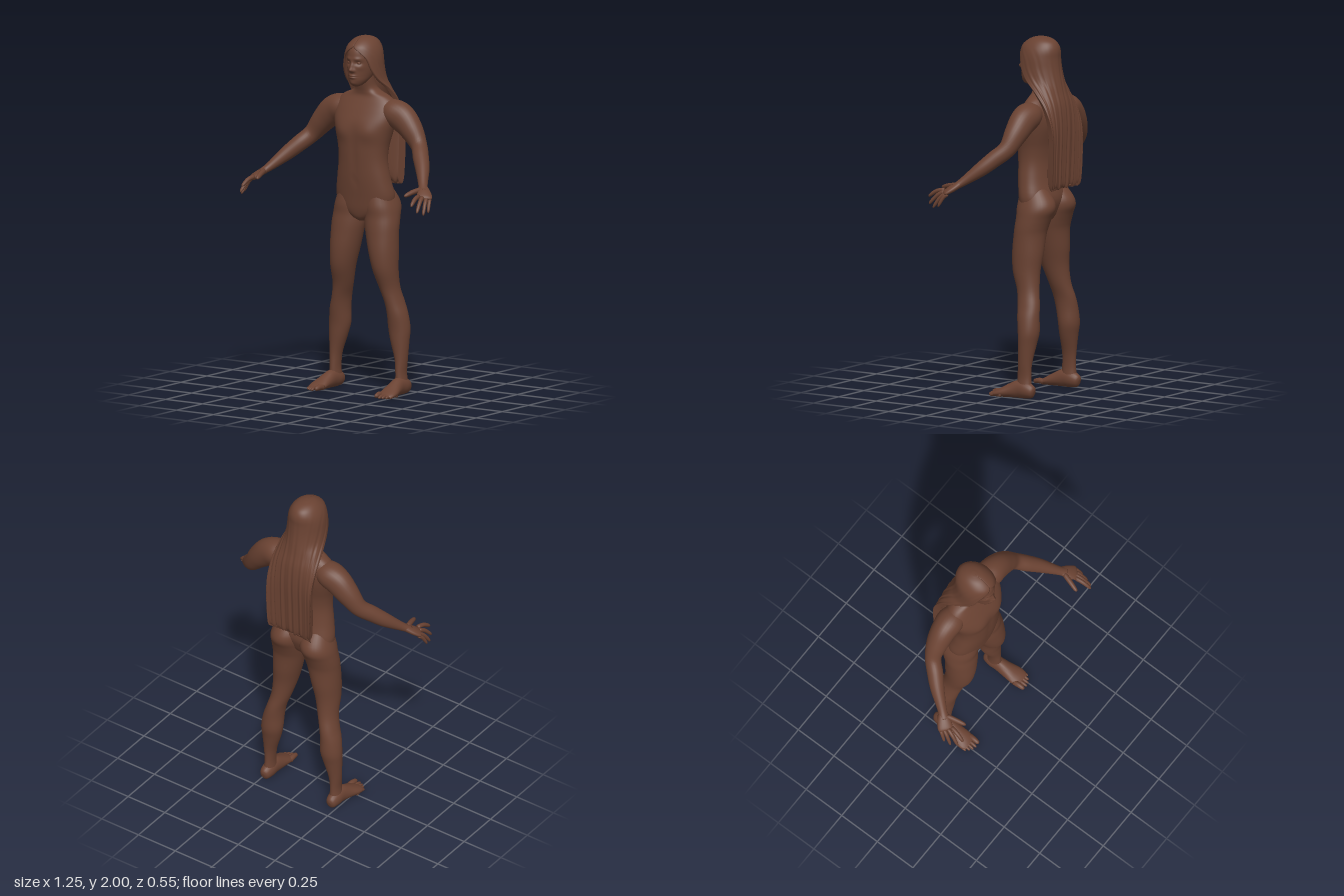
import * as THREE from 'three';

const skin = new THREE.MeshStandardMaterial({ color: 0x6a4232 });
skin.name = 'brown';

// Smoothly subdivide a list of section rows, k steps per gap
function smooth(rows, k) {
  const out = [], n = rows.length - 1;
  for (let i = 0; i < n; i++) {
    const [a, b, c, d] = [rows[Math.max(i - 1, 0)], rows[i], rows[i + 1], rows[Math.min(i + 2, n)]];
    for (let j = 0; j < k; j++) {
      const t = j / k;
      out.push(b.map((v, m) => v + 0.5 * t * (c[m] - a[m] + t * (2 * a[m] - 5 * v + 4 * c[m] - d[m]
        + t * (3 * (v - c[m]) + d[m] - a[m])))));
    }
  }
  out.push(rows[n]);
  return out;
}

// Skin a list of closed rings, capping both ends and facing outwards
function loft(name, rings, side = 1) {
  const n = rings[0].length, m = rings.length, pts = rings.flat(), idx = [];
  for (const r of [rings[0], rings[m - 1]]) {
    pts.push(r.reduce((s, p) => s.add(p), new THREE.Vector3()).divideScalar(n));
  }
  const A = n * m, B = A + 1;
  for (let j = 0; j < n; j++) {
    const k = (j + 1) % n;
    for (let i = 0; i < m - 1; i++) {
      const a = i * n + j, b = i * n + k;
      idx.push(a, b, a + n, b, b + n, a + n);
    }
    idx.push(A, k, j, B, (m - 1) * n + j, (m - 1) * n + k);
  }
  const v = pts.map(p => new THREE.Vector3(p.x * side, p.y, p.z));
  let volume = 0;
  const cross = new THREE.Vector3();
  for (let i = 0; i < idx.length; i += 3) {
    volume += v[idx[i]].dot(cross.crossVectors(v[idx[i + 1]], v[idx[i + 2]]));
  }
  if (volume < 0) idx.reverse();
  const g = new THREE.BufferGeometry().setFromPoints(v);
  g.setIndex(idx);
  g.computeVertexNormals();
  const mesh = new THREE.Mesh(g, skin);
  mesh.name = name;
  return mesh;
}

// Horizontal sections [y, x, z, rx, rz]; bumps [x, y, rx, ry, dz, front(1)/back(-1)] push z
function stack(name, rows, { k = 4, n = 32, e = 1, bumps = [], side = 1 } = {}) {
  const pow = c => Math.sign(c) * Math.abs(c) ** e;
  const rings = smooth(rows, k).map(([y, x, z, rx, rz]) => Array.from({ length: n }, (_, j) => {
    const a = j / n * Math.PI * 2;
    const p = new THREE.Vector3(x + rx * pow(Math.sin(a)), y, z + rz * pow(Math.cos(a)));
    let dz = 0;
    for (const [bx, by, sx, sy, d, f] of bumps) {
      const facing = Math.max(0, Math.cos(a) * f);
      dz += d * Math.min(1, facing * 2) * Math.exp(-(((p.x - bx) / sx) ** 2) - ((p.y - by) / sy) ** 2);
    }
    p.z += dz;
    return p;
  }));
  return loft(name, rings, side);
}

// Sections square to a path: [x, y, z, half width, half height]
function limb(name, rows, side = 1, k = 4, n = 20) {
  const pts = smooth(rows, k), at = r => new THREE.Vector3(r[0], r[1], r[2]);
  const rings = pts.map((r, i) => {
    const t = at(pts[Math.min(i + 1, pts.length - 1)]).sub(at(pts[Math.max(i - 1, 0)])).normalize();
    const w = new THREE.Vector3().crossVectors(t, new THREE.Vector3(0, 1, 0)).normalize();
    const h = new THREE.Vector3().crossVectors(w, t);
    return Array.from({ length: n }, (_, j) => {
      const a = j / n * Math.PI * 2;
      return at(r).addScaledVector(w, r[3] * Math.cos(a)).addScaledVector(h, r[4] * Math.sin(a));
    });
  });
  return loft(name, rings, side);
}

// Tapered finger or toe with a rounded tip
function digit(name, from, to, r, lift, side) {
  const row = (t, s) => [0, 1, 2].map(i => from[i] + (to[i] - from[i]) * t
    + (i === 1 ? lift * Math.sin(t * Math.PI) : 0)).concat(r * s, r * s);
  return limb(name, [row(0, 1), row(0.3, 1), row(0.55, 0.95), row(0.82, 0.82), row(0.95, 0.55), row(1, 0.1)], side, 2, 10);
}

// Long hair: open wrap round the head that flattens into a hanging sheet
function buildHair() {
  // [y, half width, z centre, z radius, wrap, thickness]
  const rows = [
    [2.0, 0.012, -0.1, 0.015, 1, 0], [1.992, 0.042, -0.1, 0.052, 1, 0], [1.975, 0.066, -0.1, 0.085, 1, 0],
    [1.95, 0.085, -0.095, 0.108, 0.99, 0.002], [1.92, 0.098, -0.093, 0.117, 0.86, 0.003],
    [1.88, 0.106, -0.09, 0.12, 0.74, 0.004], [1.82, 0.111, -0.09, 0.126, 0.66, 0.005],
    [1.76, 0.119, -0.105, 0.122, 0.58, 0.008], [1.7, 0.138, -0.15, 0.09, 0.5, 0.015],
    [1.62, 0.146, -0.22, 0.04, 0.5, 0.025], [1.5, 0.147, -0.268, 0, 0.5, 0.035],
    [1.35, 0.147, -0.275, -0.012, 0.5, 0.04], [1.2, 0.143, -0.268, -0.012, 0.5, 0.035],
    [1.165, 0.137, -0.255, -0.008, 0.5, 0.003],
  ];
  const n = 72;
  const rings = smooth(rows, 4).map(([y, hw, zc, rz, wrap, th]) => {
    const fall = THREE.MathUtils.clamp((1.97 - y) / 0.5, 0, 1);
    const row = inner => Array.from({ length: n + 1 }, (_, i) => {
      const t = i / n * 2 - 1, a = t * wrap * Math.PI;
      const wave = fall * (0.003 * Math.sin(t * 34) + 0.002 * Math.sin(t * 57 + 1));
      const shrink = inner ? Math.min(0.01, hw * 0.3) : -wave;
      const drop = 0.008 * Math.sin(t * 17) * THREE.MathUtils.clamp((1.4 - y) / 0.25, 0, 1);
      return new THREE.Vector3((hw - shrink) * Math.sin(a), y + drop,
        zc - (rz - shrink) * Math.cos(a) + (inner ? th : 0));
    });
    return [...row(false), ...row(true).reverse()];
  });
  return loft('hair', rings);
}

export function createModel() {
  const model = new THREE.Group();
  model.name = 'figure';

  // Torso and neck, with chest, belly and spine modelling
  const torsoBumps = [
    [0, 1.19, 0.012, 0.014, -0.006, 1], [0, 1.35, 0.02, 0.14, -0.005, 1], [0, 1.4, 0.02, 0.2, -0.012, -1],
  ];
  for (const s of [-1, 1]) {
    torsoBumps.push([s * 0.085, 1.47, 0.06, 0.045, 0.012, 1], [s * 0.1, 1.52, 0.05, 0.07, -0.008, -1]);
  }
  model.add(stack('torso', [
    [0.965, 0, -0.1, 0.018, 0.045], [0.985, 0, -0.1, 0.07, 0.068], [1.03, 0, -0.105, 0.15, 0.086],
    [1.1, 0, -0.11, 0.182, 0.099], [1.2, 0, -0.093, 0.166, 0.094], [1.3, 0, -0.085, 0.15, 0.093],
    [1.38, 0, -0.087, 0.154, 0.099], [1.45, 0, -0.094, 0.17, 0.106], [1.52, 0, -0.102, 0.188, 0.108],
    [1.58, 0, -0.117, 0.195, 0.098], [1.63, 0, -0.125, 0.182, 0.08], [1.665, 0, -0.125, 0.145, 0.063],
    [1.69, 0, -0.12, 0.088, 0.059], [1.715, 0, -0.11, 0.063, 0.056], [1.76, 0, -0.095, 0.056, 0.055],
    [1.8, 0, -0.09, 0.055, 0.055],
  ], { n: 64, e: 0.9, bumps: torsoBumps }));

  // Head with nose, brow, lips and eye sockets
  const faceBumps = [
    [0, 1.822, 0.013, 0.012, 0.02, 1], [0, 1.842, 0.009, 0.022, 0.013, 1], [0, 1.789, 0.02, 0.006, 0.008, 1],
    [0, 1.778, 0.018, 0.005, 0.008, 1], [0, 1.784, 0.024, 0.002, -0.004, 1], [0, 1.745, 0.02, 0.012, 0.005, 1],
  ];
  for (const s of [-1, 1]) {
    faceBumps.push([s * 0.031, 1.86, 0.018, 0.011, -0.011, 1], [s * 0.03, 1.884, 0.022, 0.008, 0.005, 1],
      [s * 0.014, 1.818, 0.007, 0.007, 0.006, 1], [s * 0.045, 1.835, 0.016, 0.014, 0.004, 1]);
    const eye = new THREE.Mesh(new THREE.SphereGeometry(0.011, 16, 12), skin);
    eye.scale.set(1.2, 0.75, 0.8);
    eye.position.set(s * 0.031, 1.86, 0.004);
    eye.name = s > 0 ? 'leftEye' : 'rightEye';
    model.add(eye);
  }
  model.add(stack('head', [
    [1.725, 0, -0.02, 0.012, 0.01], [1.735, 0, -0.025, 0.032, 0.035], [1.76, 0, -0.045, 0.052, 0.068],
    [1.79, 0, -0.065, 0.064, 0.09], [1.83, 0, -0.08, 0.073, 0.106], [1.88, 0, -0.085, 0.078, 0.11],
    [1.93, 0, -0.09, 0.078, 0.105], [1.96, 0, -0.095, 0.064, 0.08], [1.98, 0, -0.095, 0.04, 0.045],
  ], { k: 10, n: 96, bumps: faceBumps }));
  model.add(buildHair());

  for (const s of [1, -1]) {
    const label = s > 0 ? 'left' : 'right';

    // Leg from hip to ankle
    model.add(stack(label + 'Leg', [
      [1.17, 0.09, -0.105, 0.06, 0.07], [1.1, 0.094, -0.127, 0.086, 0.104], [1.05, 0.1, -0.13, 0.097, 0.113],
      [1.0, 0.105, -0.12, 0.1, 0.101], [0.95, 0.111, -0.108, 0.099, 0.094], [0.9, 0.117, -0.1, 0.094, 0.09],
      [0.8, 0.13, -0.095, 0.083, 0.09], [0.7, 0.143, -0.095, 0.069, 0.08], [0.6, 0.157, -0.115, 0.056, 0.066],
      [0.52, 0.178, -0.132, 0.052, 0.066], [0.45, 0.193, -0.14, 0.058, 0.064], [0.37, 0.2, -0.147, 0.063, 0.06],
      [0.3, 0.207, -0.142, 0.054, 0.052], [0.2, 0.22, -0.136, 0.035, 0.042], [0.12, 0.222, -0.133, 0.027, 0.042],
      [0.06, 0.224, -0.135, 0.032, 0.046], [0.02, 0.224, -0.135, 0.03, 0.045],
    ], { side: s }));

    // Foot and toes
    model.add(limb(label + 'Foot', [
      [0.225, 0.035, -0.199, 0.01, 0.015], [0.225, 0.038, -0.188, 0.028, 0.034], [0.225, 0.048, -0.15, 0.038, 0.047],
      [0.226, 0.051, -0.1, 0.038, 0.05], [0.23, 0.04, -0.05, 0.044, 0.04], [0.236, 0.027, 0, 0.052, 0.027],
      [0.238, 0.018, 0.035, 0.05, 0.018], [0.238, 0.014, 0.055, 0.036, 0.009],
    ], s));
    for (let i = 0; i < 5; i++) {
      const x = [0.2, 0.224, 0.243, 0.26, 0.276][i], r = i ? 0.011 - i * 0.0005 : 0.016;
      const tip = [0.09, 0.092, 0.086, 0.075, 0.058][i];
      model.add(digit(label + 'Toe' + (i + 1), [x, r + 0.004, tip - 0.07], [x + 0.004, r, tip], r, 0.006, s));
    }

    // Arm from shoulder to wrist
    model.add(limb(label + 'Arm', [
      [0.1, 1.6, -0.125, 0.05, 0.045], [0.17, 1.582, -0.13, 0.077, 0.074], [0.235, 1.552, -0.13, 0.072, 0.08],
      [0.3, 1.49, -0.125, 0.062, 0.067], [0.36, 1.415, -0.108, 0.046, 0.05], [0.41, 1.36, -0.055, 0.045, 0.046],
      [0.46, 1.305, 0, 0.039, 0.04], [0.52, 1.235, 0.08, 0.026, 0.024], [0.55, 1.207, 0.118, 0.028, 0.018],
    ], s, 5, 28));

    // Palm, fingers and thumb
    model.add(limb(label + 'Palm', [
      [0.525, 1.23, 0.087, 0.022, 0.019], [0.545, 1.211, 0.11, 0.034, 0.019], [0.565, 1.194, 0.132, 0.041, 0.018],
      [0.583, 1.178, 0.152, 0.041, 0.014], [0.588, 1.172, 0.158, 0.03, 0.006],
    ], s));
    const bases = [[0.557, 1.188, 0.176], [0.574, 1.182, 0.164], [0.589, 1.175, 0.147], [0.6, 1.173, 0.128]];
    const tips = [[0.573, 1.145, 0.27], [0.598, 1.108, 0.25], [0.615, 1.092, 0.213], [0.622, 1.102, 0.175]];
    bases.forEach((b, i) => model.add(digit(label + 'Finger' + (i + 1), b, tips[i], 0.0125 - i * 0.0007, 0.012, s)));
    model.add(digit(label + 'Thumb', [0.53, 1.216, 0.118], [0.499, 1.19, 0.23], 0.0145, 0.004, s));
  }
  return model;
}
